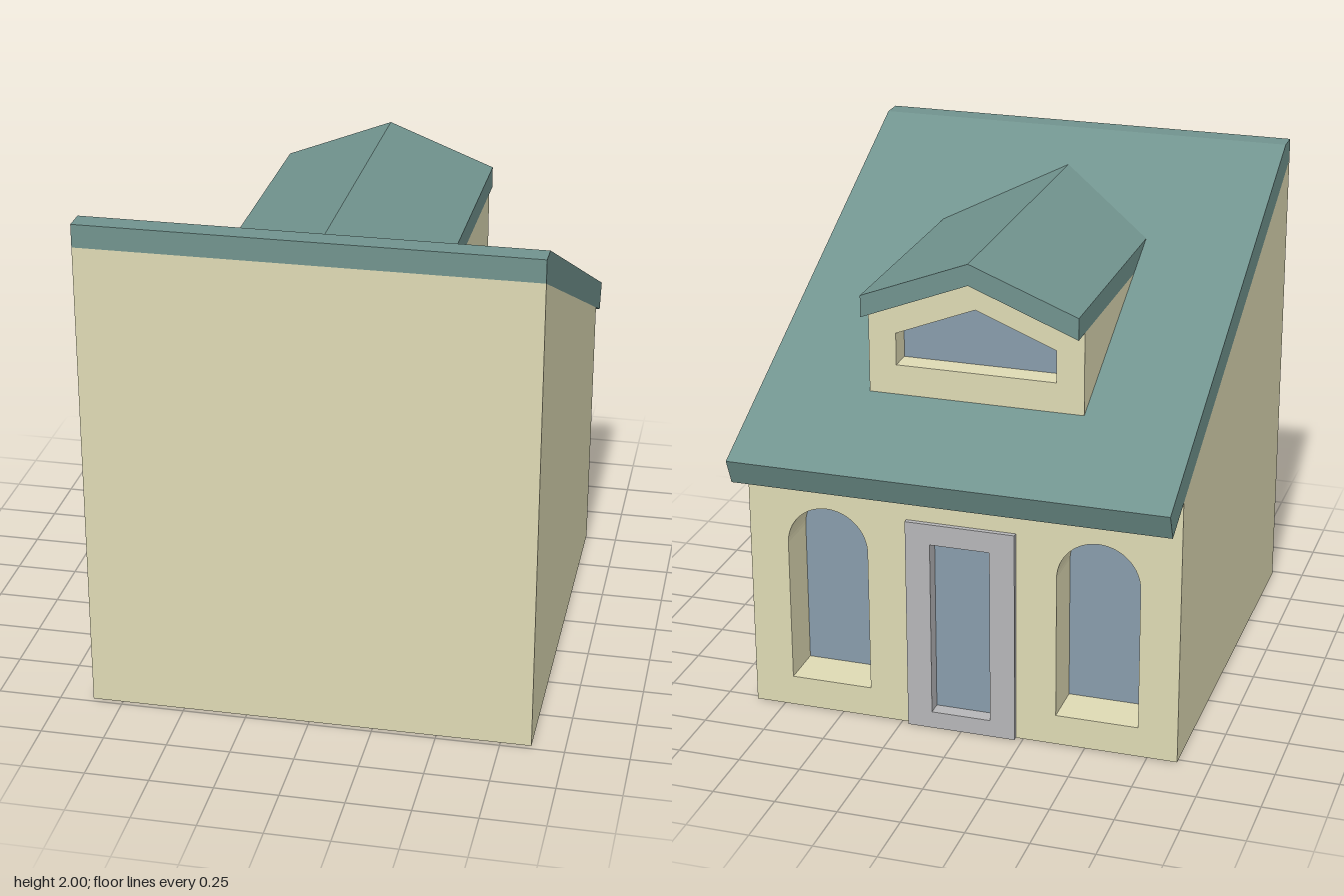
import * as THREE from 'three';

const HALF = 0.87;        // half width of the house
const BACK = -0.77;       // face of the wall with door and windows
const INNER = -0.58;      // depth of the window recesses
const FRONT = 0.98;       // tall plain wall
const under = (z) => 1.91 + (z - FRONT) * 0.466; // underside of main roof

const paint = (color) => new THREE.MeshStandardMaterial({ color, flatShading: true });

function polygon(points) {
  return new THREE.Shape(points.map(([x, y]) => new THREE.Vector2(x, y)));
}

// Extrude an (x, y) outline from z0 to z1
function alongZ(shape, z0, z1) {
  return new THREE.ExtrudeGeometry(shape, { depth: z1 - z0, bevelEnabled: false, curveSegments: 16 })
    .translate(0, 0, z0);
}

// Extrude a (z, y) outline across the full width of the house
function alongX(points) {
  return new THREE.ExtrudeGeometry(polygon(points), { depth: 2 * HALF, bevelEnabled: false })
    .rotateY(-Math.PI / 2).translate(HALF, 0, 0);
}

function box(x0, x1, y0, y1, z0, z1) {
  return new THREE.BoxGeometry(x1 - x0, y1 - y0, z1 - z0)
    .translate((x0 + x1) / 2, (y0 + y1) / 2, (z0 + z1) / 2);
}

function archHole(cx, r, sill, spring) {
  const path = new THREE.Path();
  path.moveTo(cx - r, sill);
  path.lineTo(cx + r, sill);
  path.lineTo(cx + r, spring);
  path.absarc(cx, spring, r, 0, Math.PI, false);
  path.lineTo(cx - r, sill);
  return path;
}

// Gabled outline: half width, base, eave and ridge heights
const gable = (w, base, eave, ridge) =>
  [[-w, base], [w, base], [w, eave], [0, ridge], [-w, eave]];

export function createModel() {
  const house = new THREE.Group();
  house.name = 'house';
  const wall = paint(0xdedab4);
  const roof = paint(0x71938e);
  const glass = paint(0x889cab);
  const trim = paint(0xb6b6b8);

  const add = (name, geometry, material, parent = house) => {
    const mesh = new THREE.Mesh(geometry, material);
    mesh.name = name;
    parent.add(mesh);
  };

  // Main body behind the pierced wall
  add('body', alongX([[INNER, 0], [FRONT, 0], [FRONT, under(FRONT)], [INNER, under(INNER)]]), wall);

  // Pierced wall with a door notch and two arched openings
  const facade = polygon([
    [-HALF, 0], [-0.21, 0], [-0.21, 0.87], [0.21, 0.87], [0.21, 0], [HALF, 0],
    [HALF, 1.1], [-HALF, 1.1],
  ]);
  for (const s of [-1, 1]) facade.holes.push(archHole(s * 0.547, 0.165, 0.125, 0.715));
  const facadeGeometry = alongZ(facade, BACK, INNER);
  const pos = facadeGeometry.attributes.position;
  for (let i = 0; i < pos.count; i++) { // slope the top edge to meet the roof
    if (pos.getY(i) > 1.05) pos.setY(i, under(pos.getZ(i)));
  }
  add('windowWall', facadeGeometry, wall);

  // Panes at the back of the arched recesses
  for (const s of [-1, 1]) {
    add('archedWindowPane',
      box(s * 0.547 - 0.18, s * 0.547 + 0.18, 0.11, 0.9, INNER - 0.005, INNER + 0.02), glass);
  }

  // Door: frame with a recessed pane
  const door = new THREE.Group();
  door.name = 'door';
  house.add(door);
  const frame = polygon([[-0.22, 0], [0.22, 0], [0.22, 0.88], [-0.22, 0.88]]);
  frame.holes.push(polygon([[-0.12, 0.07], [0.12, 0.07], [0.12, 0.795], [-0.12, 0.795]]));
  add('doorFrame', alongZ(frame, BACK - 0.02, BACK + 0.04), trim, door);
  add('doorPane', box(-0.205, 0.205, 0.03, 0.865, BACK + 0.04, INNER), glass, door);

  // Single-pitch main roof
  add('mainRoof', alongX([
    [-0.93, under(-0.93)], [FRONT, under(FRONT)], [FRONT, 2], [0.89, 2], [-0.975, 1.125],
  ]), roof);

  // Dormer: pierced gable, solid back, pane and gabled roof
  const dormer = new THREE.Group();
  dormer.name = 'dormer';
  house.add(dormer);
  const w = 0.43, face = -0.575, recess = -0.475;
  const outline = gable(w, 1.26, 1.645, 1.815);
  const gableWall = polygon(outline);
  gableWall.holes.push(polygon(gable(0.32, 1.433, 1.562, 1.69)));
  add('dormerGable', alongZ(gableWall, face, recess), wall, dormer);
  add('dormerBody', alongZ(polygon(outline), recess, 0.3), wall, dormer);
  add('dormerPane',
    alongZ(polygon(gable(0.34, 1.41, 1.575, 1.71)), recess - 0.005, recess + 0.02), glass, dormer);
  add('dormerRoof', alongZ(polygon([
    [-w, 1.645], [0, 1.815], [w, 1.645], [w, 1.732], [0, 1.9], [-w, 1.732],
  ]), -0.66, 0.68), roof, dormer);

  return house;
}
